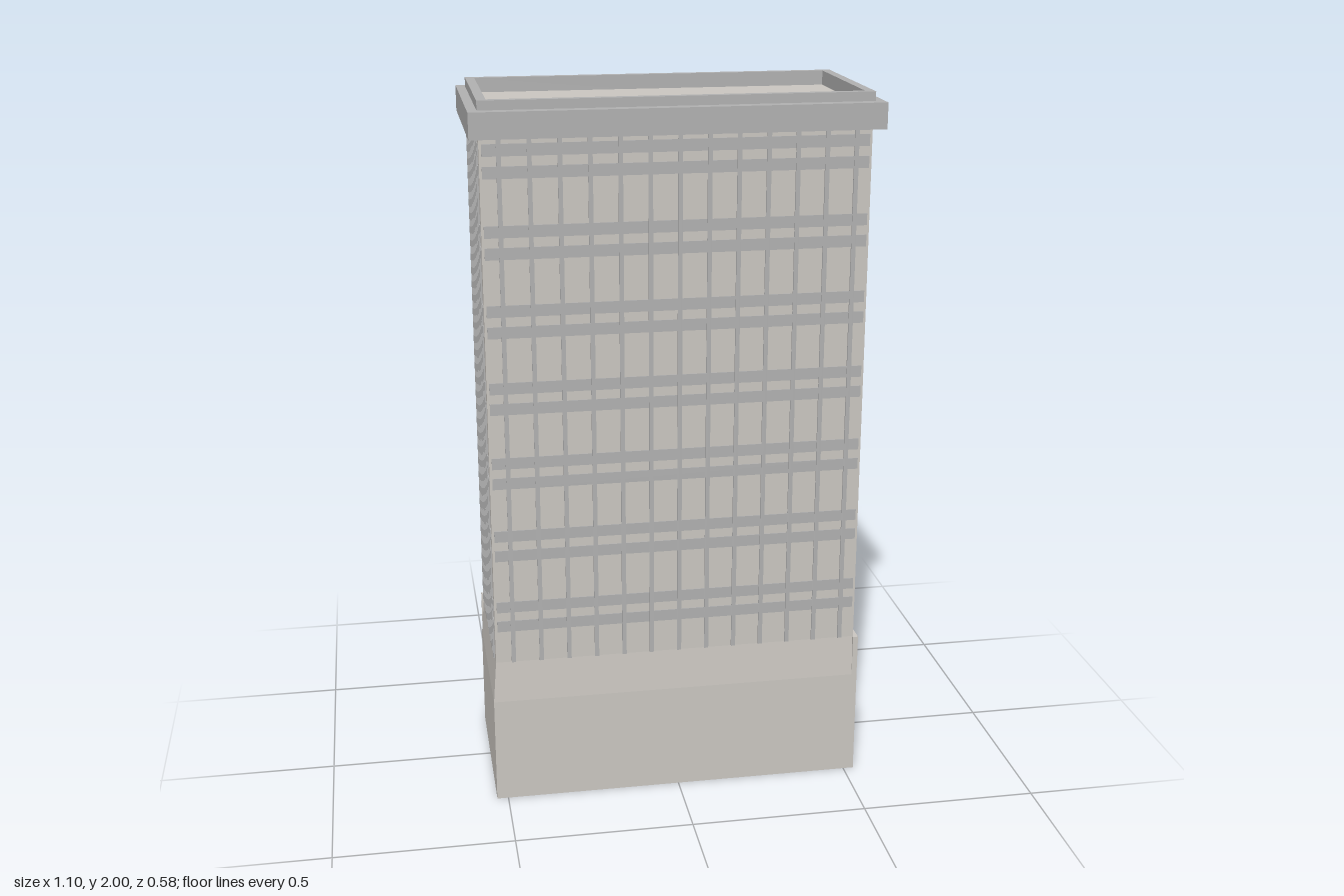
import * as THREE from 'three';

const mat = (color) => new THREE.MeshStandardMaterial({ color });
const stone = mat(0xccc8c2), grey = mat(0xb2b2b2), glass = mat(0xaec4cb);

// Box given by its extents
function box(parent, name, m, x0, x1, y0, y1, z0, z1) {
  const mesh = new THREE.Mesh(new THREE.BoxGeometry(x1 - x0, y1 - y0, z1 - z0), m);
  mesh.position.set((x0 + x1) / 2, (y0 + y1) / 2, (z0 + z1) / 2);
  mesh.name = name;
  parent.add(mesh);
  return mesh;
}

function rectPath(x0, x1, y0, y1) {
  const v = [[x0, y0], [x1, y0], [x1, y1], [x0, y1]];
  return v.map(([x, y]) => new THREE.Vector2(x, y));
}

// Rectangular ring lying flat, for the cornice and parapet
function ring(parent, name, outer, inner, y0, y1) {
  const shape = new THREE.Shape(rectPath(...outer));
  shape.holes.push(new THREE.Path(rectPath(...inner)));
  const geo = new THREE.ExtrudeGeometry(shape, { depth: y1 - y0, bevelEnabled: false });
  geo.rotateX(Math.PI / 2).translate(0, y1, 0);
  const mesh = new THREE.Mesh(geo, grey);
  mesh.name = name;
  parent.add(mesh);
}

// One side of the tower: local x runs along the wall, local z points outward
function side(parent, name, angle) {
  const g = new THREE.Group();
  g.name = name;
  g.rotation.y = angle;
  parent.add(g);
  return g;
}

// Slim vertical ribs crossed by paired floor bands
function lattice(g, u0, u1, wall, ribs) {
  for (let i = 0; i < ribs; i++) {
    const u = u0 + (u1 - u0) * (i + 0.55) / ribs;
    box(g, 'rib', grey, u - 0.006, u + 0.006, 0.43, 1.91, wall - 0.01, wall + 0.005);
  }
  for (let i = 0; i < 7; i++) {
    for (const dy of [0, 0.058]) {
      const y = 0.525 + i * 0.2125 + dy;
      box(g, 'floorBand', grey, u0, u1, y, y + 0.032, wall - 0.01, wall + 0.003);
    }
  }
}

// Stepped wall slab pierced by windows [centre u, centre y, width]
function steppedWall(g, outline, windows, wall, depth) {
  const shape = new THREE.Shape(outline.map(([x, y]) => new THREE.Vector2(x, y)));
  for (const [u, y, w] of windows) {
    shape.holes.push(new THREE.Path(rectPath(u - w / 2, u + w / 2, y - 0.05, y + 0.05)));
    box(g, 'windowGlass', glass, u - w / 2, u + w / 2, y - 0.05, y + 0.05, wall - 0.01, wall + 0.002);
  }
  const geo = new THREE.ExtrudeGeometry(shape, { depth, bevelEnabled: false });
  const mesh = new THREE.Mesh(geo, stone);
  mesh.position.z = wall - 0.002;
  mesh.name = 'steppedWall';
  g.add(mesh);
}

export function createModel() {
  const model = new THREE.Group();

  // Base and tower
  box(model, 'base', stone, -0.532, 0.53, 0, 0.31, -0.225, 0.268);
  box(model, 'tower', stone, -0.522, 0.517, 0.3, 1.92, -0.213, 0.26);

  // Sloping skirt on the front and left sides, above the base
  const skirt = box(model, 'skirt', stone, -0.532, 0.517, 0.31, 0.43, -0.213, 0.268);
  const p = skirt.geometry.attributes.position;
  for (let i = 0; i < p.count; i++) {
    if (p.getY(i) < 0) continue;
    if (p.getX(i) < 0) p.setX(i, p.getX(i) + 0.01);
    if (p.getZ(i) > 0) p.setZ(i, p.getZ(i) - 0.008);
  }
  skirt.geometry.computeVertexNormals();

  // Ribs and bands on all four sides
  const front = side(model, 'frontFacade', 0);
  const right = side(model, 'sideFacade', Math.PI / 2);
  const back = side(model, 'backFacade', Math.PI);
  const left = side(model, 'plainSideFacade', -Math.PI / 2);
  lattice(front, -0.515, 0.51, 0.26, 13);
  lattice(back, -0.51, 0.515, 0.213, 13);
  lattice(right, -0.245, 0.2, 0.517, 9);
  lattice(left, -0.2, 0.245, 0.522, 9);

  // Stepped wall with windows on the +x side
  const upperRows = [1.62, 1.42, 1.228, 1.03, 0.833];
  const lowerRows = [0.663, 0.528];
  const sideWindows = upperRows.map((y) => [0.17, y, 0.058]);
  for (const y of lowerRows) {
    sideWindows.push([-0.045, y, 0.058], [0.057, y, 0.058], [0.16, y, 0.05]);
  }
  sideWindows.push([-0.215, 0.35, 0.062], [-0.08, 0.35, 0.058], [0.073, 0.35, 0.022], [0.188, 0.35, 0.06]);
  steppedWall(right, [
    [-0.268, 0.28], [0.224, 0.28], [0.224, 1.69], [0.065, 1.69],
    [0.065, 0.735], [-0.09, 0.735], [-0.09, 0.43], [-0.268, 0.43],
  ], sideWindows, 0.517, 0.015);

  // Stepped wall with windows on the back
  const backWindows = [];
  const row = (y, count, first, step) => {
    for (let i = 0; i < count; i++) backWindows.push([first + i * step, y, 0.058]);
  };
  upperRows.slice(0, 3).forEach((y) => row(y, 2, -0.485, 0.14));
  upperRows.slice(3).forEach((y) => row(y, 4, -0.465, 0.133));
  lowerRows.forEach((y) => row(y, 5, -0.465, 0.148));
  row(0.36, 7, -0.465, 0.152);
  steppedWall(back, [
    [-0.53, 0.26], [0.53, 0.26], [0.53, 0.433], [0.22, 0.433], [0.22, 0.735],
    [-0.02, 0.735], [-0.02, 1.19], [-0.29, 1.19], [-0.29, 1.69], [-0.53, 1.69],
  ], backWindows, 0.213, 0.014);

  // Shopfront on the back: surround, glazing bars and blank centre panel
  const shop = new THREE.Group();
  shop.name = 'shopfront';
  back.add(shop);
  box(shop, 'canopy', grey, -0.522, 0.522, 0.245, 0.275, 0.22, 0.292);
  for (const s of [-1, 1]) {
    box(shop, 'sidePost', grey, s * 0.507 - 0.015, s * 0.507 + 0.015, 0, 0.245, 0.22, 0.292);
  }
  box(shop, 'centrePanel', stone, -0.26, 0, 0, 0.245, 0.22, 0.245);
  for (const [u0, u1, bars] of [[-0.492, -0.26, 1], [0, 0.492, 2]]) {
    box(shop, 'shopGlass', glass, u0, u1, 0.03, 0.245, 0.22, 0.233);
    box(shop, 'shopSill', stone, u0, u1, 0, 0.035, 0.22, 0.245);
    box(shop, 'shopHeader', stone, u0, u1, 0.215, 0.245, 0.22, 0.245);
    for (let i = 1; i <= bars; i++) {
      const y = 0.035 + 0.18 * i / (bars + 1);
      box(shop, 'glazingBar', grey, u0, u1, y - 0.008, y + 0.008, 0.22, 0.243);
    }
  }

  // Cornice, parapet and sunken roof (ring extents are x then z)
  ring(model, 'cornice', [-0.548, 0.548, -0.25, 0.29], [-0.51, 0.51, -0.21, 0.25], 1.905, 1.975);
  ring(model, 'parapet', [-0.523, 0.523, -0.22, 0.258], [-0.498, 0.498, -0.2, 0.237], 1.91, 2.0);
  box(model, 'roof', stone, -0.505, 0.505, 1.9, 1.96, -0.205, 0.24);

  return model;
}
